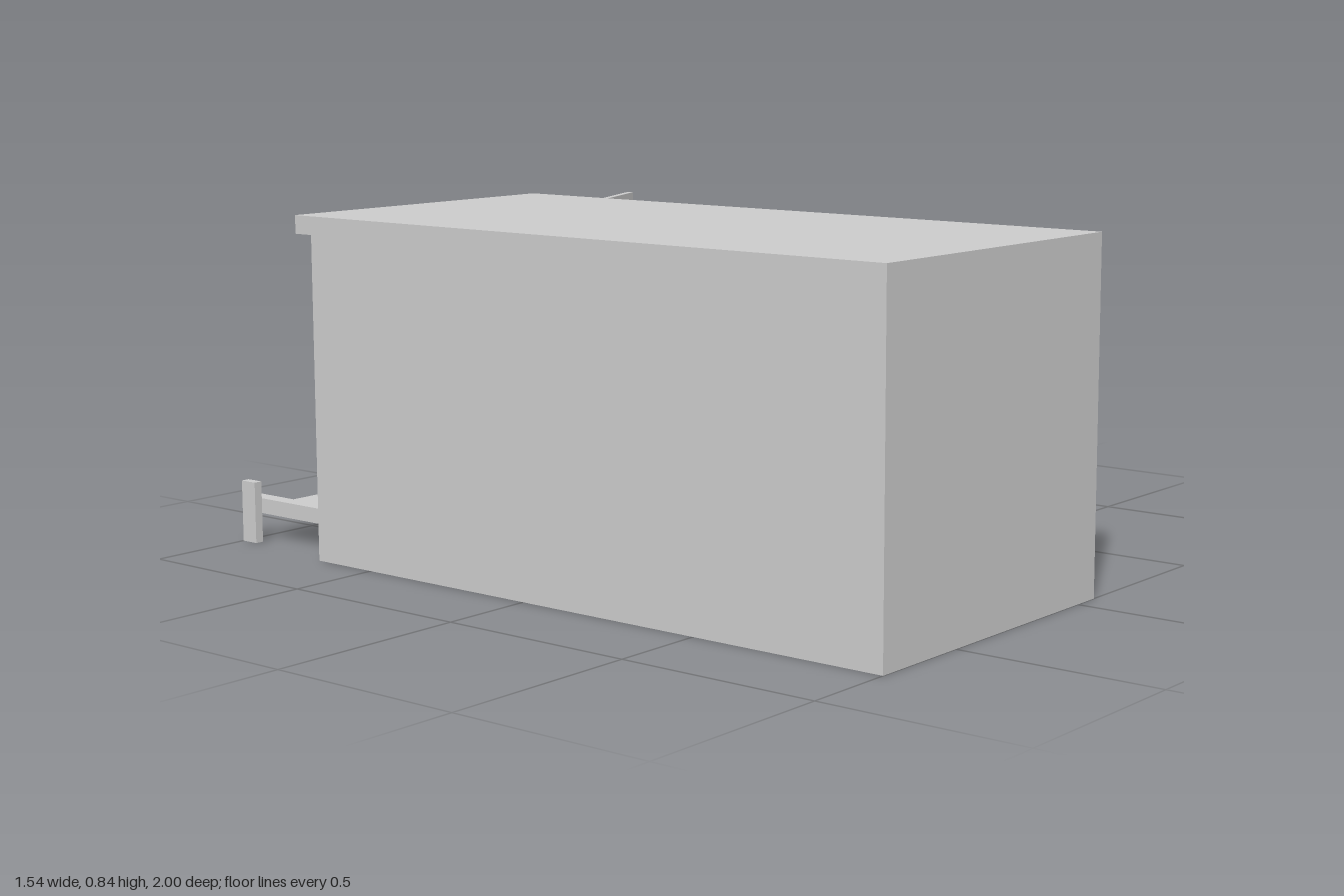
import * as THREE from 'three';

const mat = new THREE.MeshStandardMaterial({ color: 0xcccccc });

// Box given by its min and max on each axis
function box(parent, name, [x0, x1], [y0, y1], [z0, z1]) {
  const m = new THREE.Mesh(new THREE.BoxGeometry(x1 - x0, y1 - y0, z1 - z0), mat);
  m.position.set((x0 + x1) / 2, (y0 + y1) / 2, (z0 + z1) / 2);
  m.name = name;
  parent.add(m);
  return m;
}

function group(parent, name) {
  const g = new THREE.Group();
  g.name = name;
  parent.add(g);
  return g;
}

export function createModel() {
  const model = new THREE.Group();
  model.name = 'storageBox';
  const L = -0.767, R = 0.072, T = 0.045, H = 0.843, BACK = -0.68;

  // Hollow body, open at the back, with a roof that overhangs the opening
  const body = group(model, 'body');
  box(body, 'floor', [L, R], [0, T], [BACK, 1]);
  box(body, 'roof', [L, R], [H - T, H], [-0.735, 1]);
  box(body, 'rightWall', [L, L + T], [T, H - T], [BACK, 1]);
  box(body, 'leftWall', [R - T, R], [T, H - T], [BACK, 1]);
  box(body, 'frontWall', [L + T, R - T], [T, H - T], [1 - T, 1]);

  // Sliding tray, pulled partly out
  const tray = group(model, 'tray');
  tray.position.x = (L + R) / 2;
  const zs = [-0.998, 0.64];
  box(tray, 'trayFloor', [-0.325, 0.325], [0.065, 0.08], zs);
  for (const s of [-1, 1]) {
    const span = (a, b) => (s > 0 ? [a, b] : [-b, -a]);
    box(tray, 'railWeb', span(0.322, 0.334), [0.065, 0.1], zs);
    box(tray, 'railFlange', span(0.322, 0.362), [0.1, 0.112], zs);
    box(tray, 'railStop', span(0.362, 0.384), [0, 0.155], [-1, -0.952]);
    box(tray, 'stopBracket', span(0.33, 0.364), [0.068, 0.1], [-1, -0.985]);
  }

  // Door swung open; local x runs along the door, local +z is its outer face
  const door = group(model, 'door');
  door.position.set(0.077, 0, -0.706);
  door.rotation.y = 0.397;
  const inset = 0.012, thick = 0.018, len = 0.748;
  box(door, 'doorPanel', [inset, len], [0.055, 0.79], [-thick / 2, thick / 2]);
  // Narrow hinge edge, interrupted by the hinge notches
  for (const ys of [[0.055, 0.11], [0.163, 0.688], [0.742, 0.79]])
    box(door, 'doorEdge', [0, inset], ys, [-thick / 2, thick / 2]);

  // Hinges: a leaf on the door, a leaf on the wall end and a pin
  for (const y of [0.137, 0.715]) {
    const ys = [y - 0.026, y + 0.026];
    box(door, 'doorHingeLeaf', [0, 0.055], ys, [thick / 2, thick / 2 + 0.006]);
    box(model, 'wallHingeLeaf', [R - T, R + 0.012], ys, [BACK - 0.008, BACK]);
    const pin = new THREE.Mesh(new THREE.CylinderGeometry(0.009, 0.009, 0.052, 16), mat);
    pin.position.set(R + 0.008, y, -0.696);
    pin.name = 'hingePin';
    model.add(pin);
  }

  // Pull handle
  const handle = group(door, 'handle');
  const hx = [0.684, 0.696];
  box(handle, 'handleGrip', hx, [0.356, 0.49], [0.032, 0.042]);
  for (const y of [0.356, 0.478])
    box(handle, 'handleFoot', hx, [y, y + 0.012], [thick / 2, 0.034]);

  return model;
}
